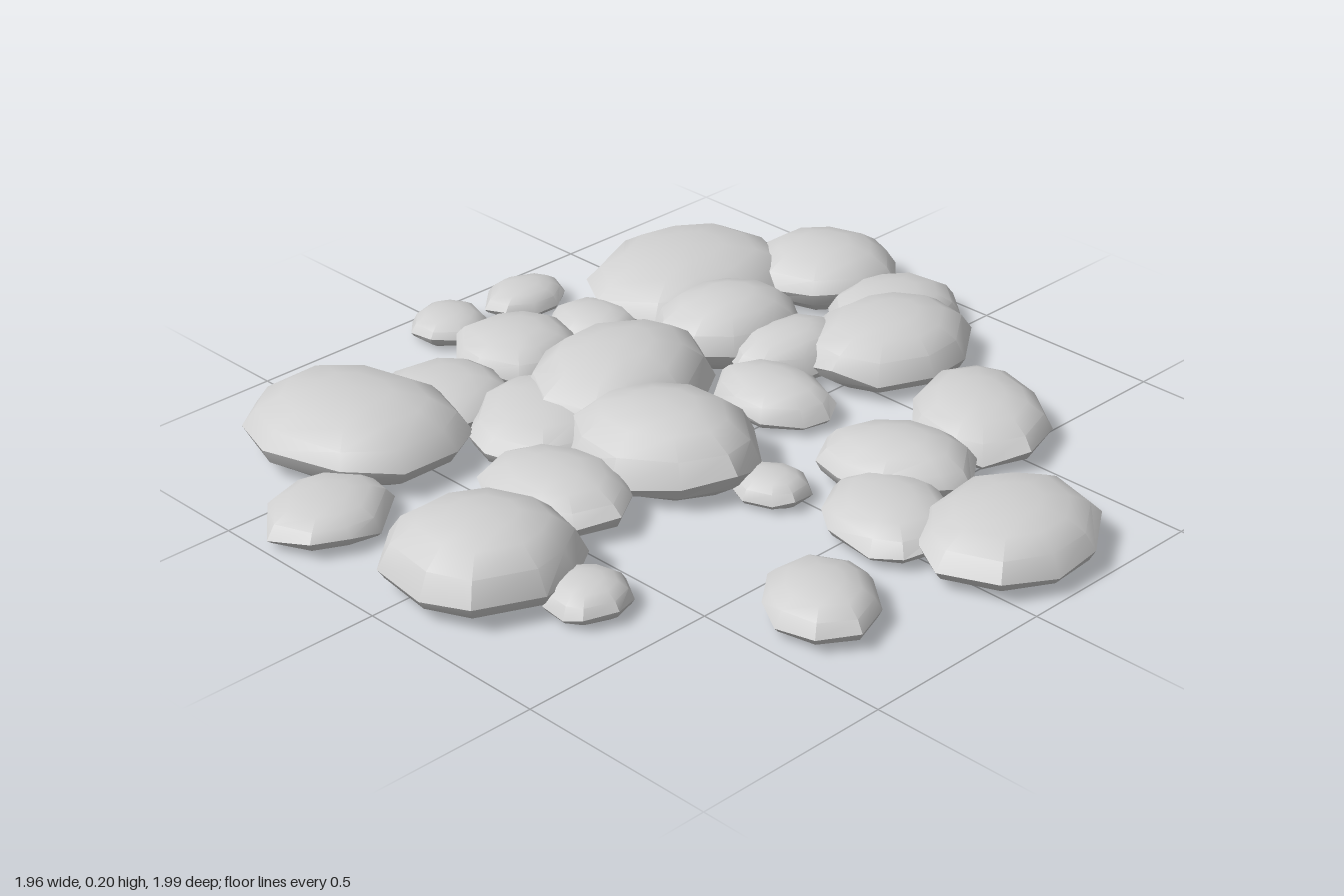
import * as THREE from 'three';
import { toCreasedNormals } from 'three/addons/utils/BufferGeometryUtils.js';

// Each stone: left, right, back, front, height, diagonal skew
const backStones = [
  [-0.57, -0.21, -1.0, -0.63, 0.145, -0.04],
  [-0.29, 0.05, -0.97, -0.6, 0.11, 0.04],
  [-0.18, 0.19, -0.86, -0.4, 0.15, 0],
  [-0.84, -0.37, -0.81, -0.27, 0.15, 0],
  [-0.5, -0.17, -0.6, -0.23, 0.16, -0.04],
  [-0.27, -0.03, -0.61, -0.28, 0.12, -0.06],
  [-0.2, 0.13, -0.38, -0.14, 0.1, 0],
];
const sideStones = [
  [0.19, 0.59, -0.71, -0.33, 0.12, 0.13],
  [0.22, 0.6, -0.37, -0.06, 0.13, -0.1],
  [0.36, 0.72, -0.2, 0.11, 0.1, 0.08],
  [0.59, 0.98, -0.4, 0.08, 0.14, 0.02],
  [0.53, 0.83, 0.18, 0.46, 0.1, 0.1],
  [-0.95, -0.77, -0.33, -0.1, 0.07, 0],
  [-0.74, -0.49, -0.33, -0.12, 0.08, 0],
  [-0.98, -0.78, -0.08, 0.12, 0.07, 0.04],
];
const middleStones = [
  [-0.79, -0.48, -0.15, 0.17, 0.11, 0],
  [-0.49, -0.05, -0.26, 0.28, 0.2, 0.04],
  [-0.25, 0.23, -0.08, 0.33, 0.185, -0.07],
  [-0.5, -0.1, 0.02, 0.43, 0.13, 0.05],
  [-0.74, -0.42, 0.13, 0.45, 0.1, 0],
  [0.16, 0.34, -0.05, 0.12, 0.07, -0.04],
];
const frontStones = [
  [-0.84, -0.32, 0.34, 0.8, 0.17, -0.05],
  [-0.25, 0.15, 0.26, 0.57, 0.12, 0],
  [-0.15, 0.28, 0.52, 0.95, 0.18, -0.03],
  [0.2, 0.4, 0.55, 0.75, 0.08, 0],
  [-0.5, -0.22, 0.66, 0.99, 0.09, 0.05],
];

// Small seeded generator returning -1..1
function seeded(seed) {
  let s = seed * 7919 + 17;
  return () => {
    s = (s * 16807) % 2147483647;
    return (s / 2147483647) * 2 - 1;
  };
}

// Radius, height and unevenness of the rings, from the flat underside to the dome
const rings = [
  [0.7, 0.02, 0], [0.93, 0.2, 0.06], [1, 0.37, 0.14],
  [0.87, 0.66, 0.03], [0.64, 0.87, 0], [0.34, 0.97, 0],
];

function stoneGeometry([x0, x1, z0, z1, height, skew], seed) {
  const rand = seeded(seed);
  for (let i = 0; i < 5; i++) rand();
  const sides = x1 - x0 > 0.3 ? 10 : 9;
  const turn = rand() * Math.PI;

  // Irregular skewed outline, then fitted to the stone's extents
  const outline = [];
  for (let i = 0; i < sides; i++) {
    const a = turn + ((i + rand() * 0.22) / sides) * Math.PI * 2;
    const r = 1 + rand() * 0.04;
    const c = Math.cos(a) * r, s = Math.sin(a) * r;
    outline.push(new THREE.Vector2(c + skew * s, s + skew * c));
  }
  const box = new THREE.Box2().setFromPoints(outline);
  const fit = outline.map((p) => [
    THREE.MathUtils.mapLinear(p.x, box.min.x, box.max.x, x0, x1),
    THREE.MathUtils.mapLinear(p.y, box.min.y, box.max.y, z0, z1),
  ]);
  const cx = (x0 + x1) / 2, cz = (z0 + z1) / 2;

  // Rings of vertices, with an uneven rim
  const lift = fit.map(rand);
  const positions = [];
  for (const [r, h, uneven] of rings) {
    fit.forEach(([x, z], i) => positions.push(
      cx + (x - cx) * r, (h + uneven * lift[i]) * height, cz + (z - cz) * r));
  }
  const bottom = rings.length * sides, top = bottom + 1;
  positions.push(cx, 0, cz, cx, height, cz);

  const index = [];
  for (let i = 0; i < sides; i++) {
    const j = (i + 1) % sides;
    for (let k = 0; k < rings.length - 1; k++) {
      const a = k * sides + i, b = k * sides + j;
      index.push(a, a + sides, b, b, a + sides, b + sides);
    }
    const last = (rings.length - 1) * sides;
    index.push(bottom, i, j, top, last + j, last + i);
  }
  const geometry = new THREE.BufferGeometry();
  geometry.setAttribute('position', new THREE.Float32BufferAttribute(positions, 3));
  geometry.setIndex(index);
  return toCreasedNormals(geometry, 0.6);
}

export function createModel() {
  const model = new THREE.Group();
  model.name = 'stoneCluster';
  const stone = new THREE.MeshStandardMaterial({ color: 0xd0d0d0 });
  stone.name = 'grey stone';

  const clusters = { backStones, sideStones, middleStones, frontStones };
  let seed = 1;
  for (const [name, list] of Object.entries(clusters)) {
    const group = new THREE.Group();
    group.name = name;
    list.forEach((spec, i) => {
      const mesh = new THREE.Mesh(stoneGeometry(spec, seed++), stone);
      mesh.name = `stone${i + 1}`;
      group.add(mesh);
    });
    model.add(group);
  }
  return model;
}
